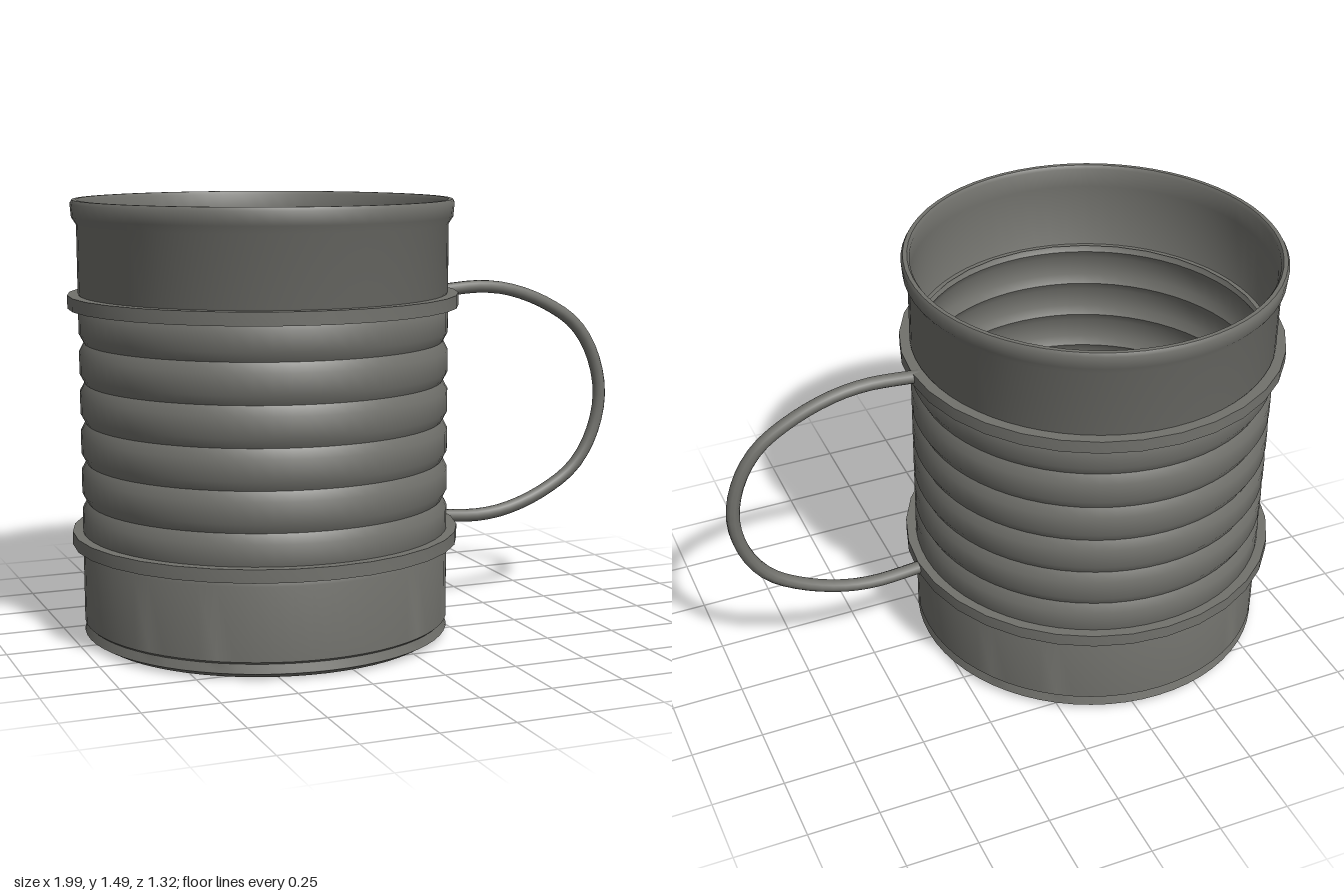
import * as THREE from 'three';
import { toCreasedNormals } from 'three/addons/utils/BufferGeometryUtils.js';

const AXIS = -0.34; // x of the cup's axis
const MID = 0.747; // height the handle mirrors about

export function createModel() {
  const group = new THREE.Group();
  group.name = 'ribbedMug';
  const steel = new THREE.MeshStandardMaterial({ color: 0x71716c });
  steel.name = 'dark steel';

  const add = (name, geometry, x = 0) => {
    const mesh = new THREE.Mesh(geometry, steel);
    mesh.name = name;
    mesh.position.x = x;
    group.add(mesh);
  };
  const lathe = (pairs, segments) => toCreasedNormals(
    new THREE.LatheGeometry(pairs.map(([r, y]) => new THREE.Vector2(r, y)), segments), 0.7);

  // Wall profile from foot to rim, with rolled grooves between the bands
  const R = 0.625;
  const wall = [[R, 0.02], [0.616, 0.05], [R, 0.058], [R, 0.3]];
  for (let i = 0; i < 7; i++) {
    const y = 0.335 + i * 0.135;
    wall.push([R, y - 0.032], [0.608, y], [R, y + 0.032]);
  }
  wall.push([R, 1.405]);

  // Thin shell: outside up, over the flared rim, back down inside
  const inside = wall.slice(2).reverse().map(([r, y]) => [r - 0.007, y]);
  add('cup', lathe([
    [0, 0], [0.59, 0], [0.6, 0.006], ...wall,
    [0.641, 1.43], [0.645, 1.475], [0.638, 1.487], [0.624, 1.487], [0.616, 1.475],
    ...inside, [0, 0.05],
  ], 64));

  // Two flat bands that carry the handle
  for (const [name, y] of [['lowerBand', 0.345], ['upperBand', 1.149]]) {
    add(name, lathe([
      [0.6, y - 0.022], [0.66, y - 0.022], [0.66, y + 0.022], [0.6, y + 0.022],
    ], 32), AXIS);
  }
  group.getObjectByName('cup').position.x = AXIS;

  // Wire handle, mirrored top to bottom
  const half = [[0.285, 0.401], [0.34, 0.407], [0.48, 0.415], [0.6, 0.398], [0.74, 0.345],
    [0.86, 0.265], [0.935, 0.15]];
  const path = [...half, [0.967, 0], ...half.slice().reverse().map(([x, y]) => [x, -y])]
    .map(([x, y]) => new THREE.Vector3(x, MID + y, 0));
  add('handle', new THREE.TubeGeometry(new THREE.CatmullRomCurve3(path), 40, 0.023, 10));

  return group;
}
